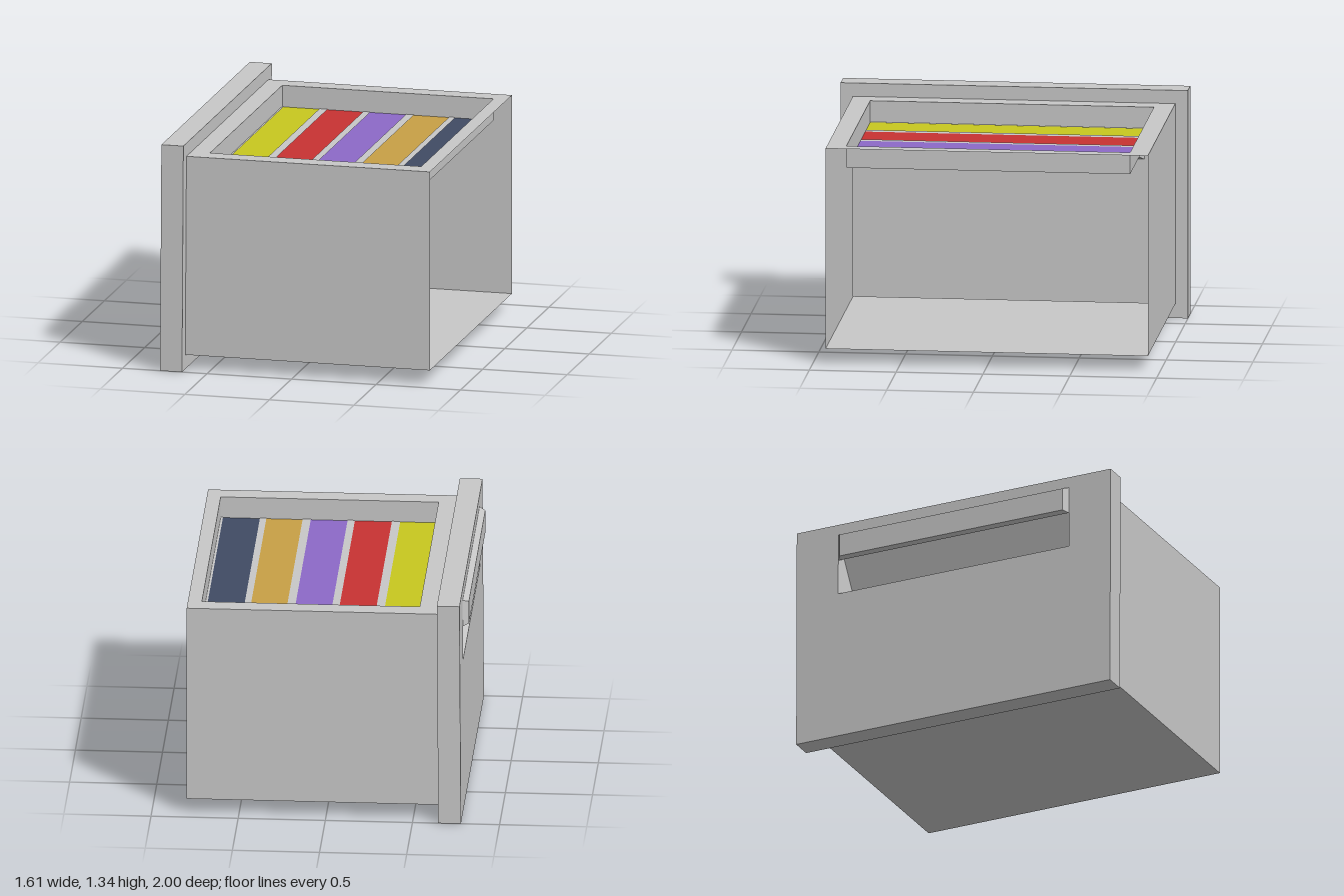
import * as THREE from 'three';

const mat = (name, color) => {
  const m = new THREE.MeshStandardMaterial({ color, side: THREE.DoubleSide });
  m.name = name;
  return m;
};

// Four corners of a rectangle: loops run bottom/near, around, and back
const upright = (x, hz, y0, y1) => [[y0, -hz], [y0, hz], [y1, hz], [y1, -hz]]
  .map(([y, z]) => [typeof x === 'function' ? x(y) : x, y, z]);
const level = (y, x0, x1, hz) => [[x0, -hz], [x0, hz], [x1, hz], [x1, -hz]].map(([x, z]) => [x, y, z]);

// Flat shaded surface from four-cornered faces
function faces(list) {
  const pos = [];
  for (const [a, b, c, d] of list) pos.push(...a, ...b, ...c, ...a, ...c, ...d);
  const g = new THREE.BufferGeometry();
  g.setAttribute('position', new THREE.Float32BufferAttribute(pos, 3));
  g.computeVertexNormals();
  return g;
}

// Walls joining two corner loops
const band = (a, b) => a.map((p, i) => {
  const j = (i + 1) % a.length;
  return [p, a[j], b[j], b[i]];
});

// Flat plate with a hole, both given as corner loops
function frame(outer, hole) {
  const tri = THREE.ShapeUtils.triangulateShape;
  const flat = (p) => (outer.every((q) => q[1] === outer[0][1])
    ? new THREE.Vector2(p[2], p[0]) : new THREE.Vector2(p[2], p[1]));
  const all = [...outer, ...hole];
  const g = new THREE.BufferGeometry();
  g.setAttribute('position', new THREE.Float32BufferAttribute(all.flat(), 3));
  g.setIndex(tri(outer.map(flat), [hole.map(flat)]).flat());
  g.computeVertexNormals();
  return g;
}

export function createModel() {
  const model = new THREE.Group();
  model.name = 'fileDrawer';
  const grey = mat('drawerGrey', 0xc8c8c8);
  const add = (name, geometry, material = grey) => {
    const mesh = new THREE.Mesh(geometry, material);
    mesh.name = name;
    model.add(mesh);
  };

  // Slightly leaning face panel
  const front = (y) => -0.778 + 0.006 * y;
  const back = (y) => -0.648 + 0.006 * y;
  const panelFront = upright(front, 1, 0, 1.335);
  const panelBack = upright(back, 1, 0, 1.335);
  const opening = upright(front, 0.735, 0.9, 1.27);
  const bodyStart = upright(back, 0.928, 0.085, 1.257);
  add('panelFront', frame(panelFront, opening));
  add('panelEdges', faces(band(panelFront, panelBack)));
  add('panelBack', frame(panelBack, bodyStart));

  // Finger recess, deepest at its floor and tapering upward
  const recess = upright((y) => (y < 1 ? -0.68 : front(y) + 0.002), 0.69, 0.94, 1.265);
  recess[2][2] = 0.733;
  recess[3][2] = -0.733;
  add('handleRecess', faces([...band(opening, recess), recess]));

  // Bevelled pull bar
  const barBase = upright(front, 0.735, 1.11, 1.27);
  const barFace = upright(-0.805, 0.71, 1.12, 1.255);
  add('pullBar', faces([...band(barBase, barFace), barFace]));

  // Thin body: floor and two sides, open at the far end
  const bodyEnd = upright(0.8, 0.928, 0.085, 1.257);
  add('body', faces(band(bodyStart, bodyEnd).filter((_, i) => i !== 2)));

  // Top rim and sunken tray
  const rimOuter = level(1.257, -0.641, 0.8, 0.928);
  const rimInner = level(1.257, -0.53, 0.72, 0.817);
  add('topRim', frame(rimOuter, rimInner));
  add('trayWalls', faces(band(rimInner, level(1.13, -0.53, 0.72, 0.817))));

  // Coloured folders across the tray
  const folders = [
    ['yellow', 0xc8c81f, -0.53, -0.285],
    ['red', 0xc83232, -0.285, -0.03],
    ['purple', 0x8c69c8, -0.03, 0.225],
    ['ochre', 0xc8a046, 0.225, 0.475],
    ['navy', 0x404b64, 0.475, 0.72],
  ];
  for (const [name, color, x0, x1] of folders) {
    add(`${name}Folder`, faces([level(1.13, x0, x1, 0.817)]), mat(name, color));
  }

  // Grey dividers lying between the folders
  const dividers = [[-0.53, -0.52], [-0.31, -0.262], [-0.05, -0.008], [0.203, 0.25], [0.458, 0.495], [0.707, 0.72]];
  for (const [x0, x1] of dividers) add('divider', faces([level(1.133, x0, x1, 0.817)]));

  return model;
}
